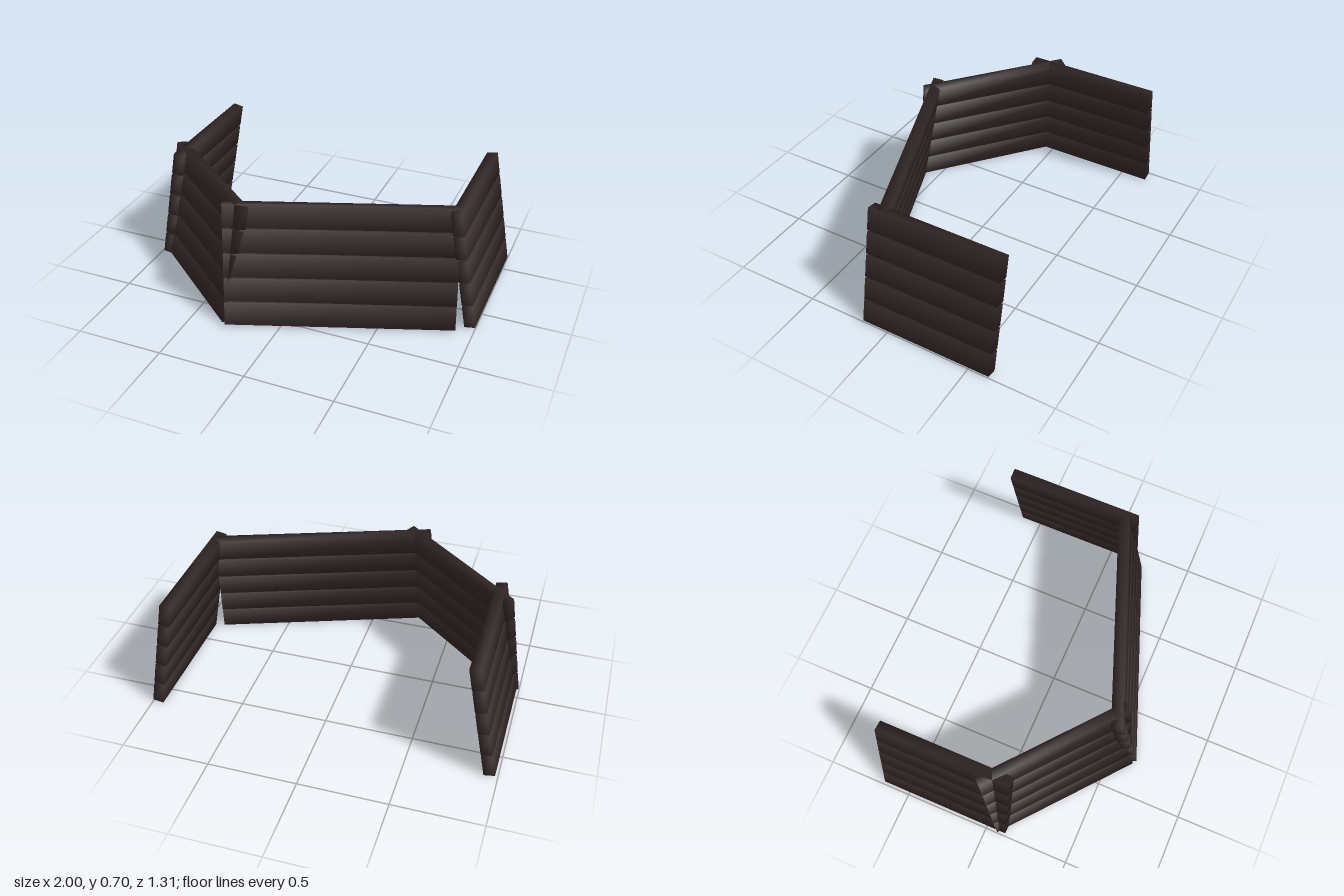
import * as THREE from 'three';
import { mergeVertices } from 'three/addons/utils/BufferGeometryUtils.js';

const ROWS = 5, PITCH = 0.141, PLANK_H = 0.131, PLANK_T = 0.062;
const LEAN = 0.18;      // inward tilt of every plank
const STEP_IN = 0.026;  // each row sits a little further inward

// Plank with softly shaded (shared) corners; origin on its outer bottom edge
function plankGeometry(length) {
  const box = new THREE.BoxGeometry(length, PLANK_H, PLANK_T);
  box.translate(0, PLANK_H / 2, -PLANK_T / 2);
  box.deleteAttribute('normal');
  box.deleteAttribute('uv');
  const soft = mergeVertices(box);
  soft.computeVertexNormals();
  return soft;
}

// Leaning wall of stacked planks; a and b are [x, z] ends of its outer foot line
function makeWall(name, a, b, material) {
  const wall = new THREE.Group();
  wall.name = name;
  const dx = b[0] - a[0], dz = b[1] - a[1];
  const geometry = plankGeometry(Math.hypot(dx, dz));
  for (let i = 0; i < ROWS; i++) {
    const plank = new THREE.Mesh(geometry, material);
    plank.name = `${name}Plank${i + 1}`;
    plank.position.set(0, i * PITCH + PLANK_T * Math.sin(LEAN), -i * STEP_IN);
    plank.rotation.x = -LEAN;
    wall.add(plank);
  }
  wall.position.set((a[0] + b[0]) / 2, 0, (a[1] + b[1]) / 2);
  wall.rotation.y = Math.atan2(-dz, dx); // local +z faces outward
  return wall;
}

export function createModel() {
  const model = new THREE.Group();
  model.name = 'plankBarricade';
  const wood = new THREE.MeshStandardMaterial({ color: 0x332727 });
  wood.name = 'darkWood';

  model.add(
    makeWall('rightSideWall', [-0.985, -0.66], [-0.985, 0.115], wood),
    makeWall('shortFrontWall', [-0.997, 0.07], [-0.31, 0.64], wood),
    makeWall('longFrontWall', [-0.287, 0.655], [0.906, 0.22], wood),
    makeWall('leftSideWall', [1.0, 0.155], [1.0, -0.622], wood),
  );
  return model;
}
